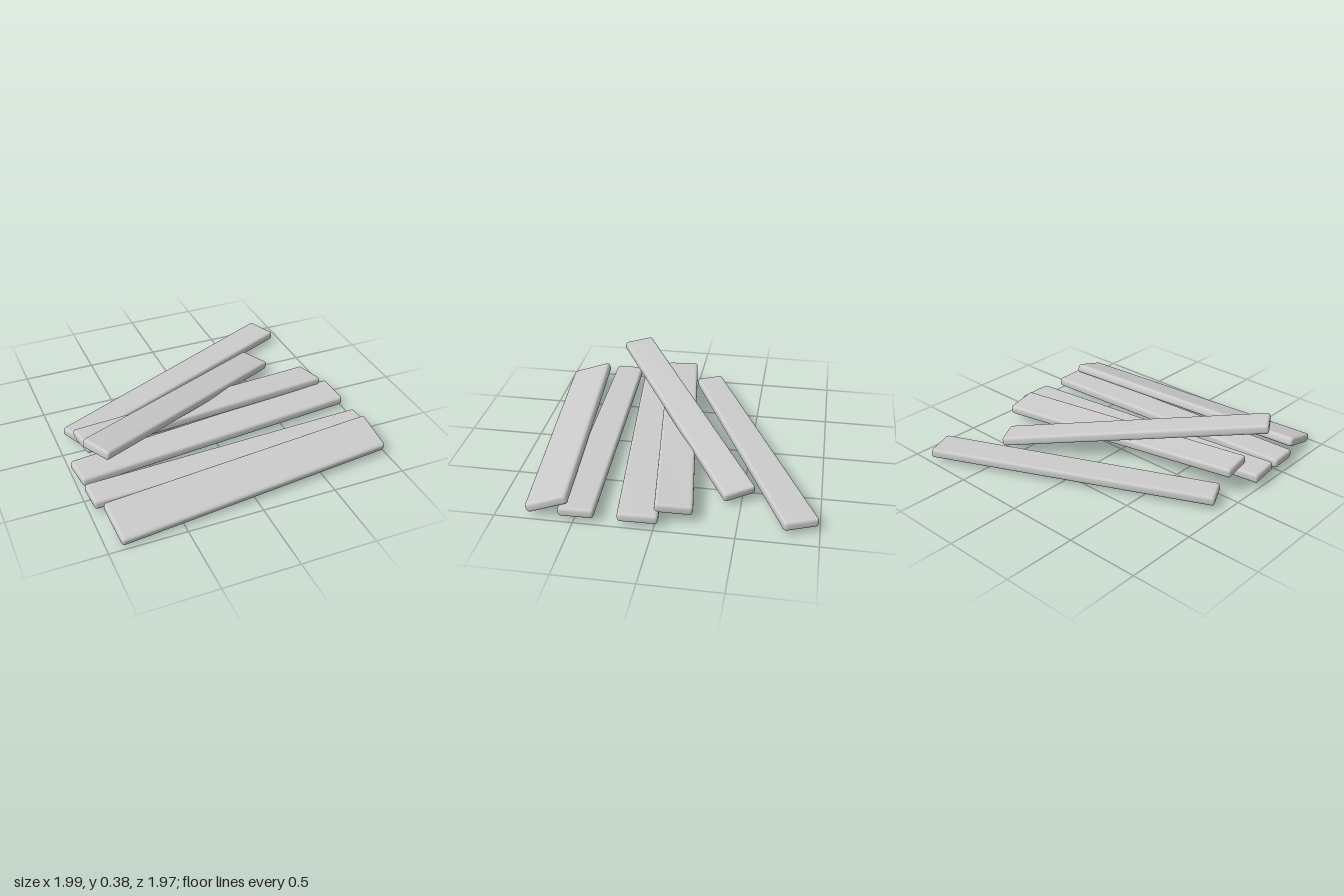
import * as THREE from 'three';
import { RoundedBoxGeometry } from 'three/addons/geometries/RoundedBoxGeometry.js';
import { mergeVertices } from 'three/addons/utils/BufferGeometryUtils.js';

const LENGTH = 2, WIDTH = 0.22, THICK = 0.064;

// A softly bevelled board stretched between its four mid-height corners:
// back left, front left, back right, front right.
function plank(name, corners, material) {
  const [bl, fl, br, fr] = corners.map(c => new THREE.Vector3(...c));
  const along = br.clone().add(fr).sub(bl).sub(fl);
  const across = fl.clone().add(fr).sub(bl).sub(br);
  const up = across.cross(along).normalize();

  let geo = new RoundedBoxGeometry(LENGTH, THICK, WIDTH, 2, 0.021);
  geo.deleteAttribute('normal');
  geo.deleteAttribute('uv');
  geo = mergeVertices(geo, 1e-5);

  const pos = geo.attributes.position;
  const p = new THREE.Vector3(), right = new THREE.Vector3();
  for (let i = 0; i < pos.count; i++) {
    const u = pos.getX(i) / LENGTH + 0.5;
    const v = pos.getZ(i) / WIDTH + 0.5;
    const h = pos.getY(i);
    p.lerpVectors(bl, fl, v);
    right.lerpVectors(br, fr, v);
    p.lerp(right, u).addScaledVector(up, h);
    pos.setXYZ(i, p.x, p.y, p.z);
  }
  geo.computeVertexNormals();

  const mesh = new THREE.Mesh(geo, material);
  mesh.name = name;
  return mesh;
}

export function createModel() {
  const group = new THREE.Group();
  group.name = 'plankPile';
  const wood = new THREE.MeshStandardMaterial({ color: 0xcccccc });

  const planks = {
    // boards lying flat
    backPlank: [[-0.945, 0.073, -0.18], [-0.86, 0.073, -0.005], [0.845, 0.073, -0.995], [0.93, 0.073, -0.785]],
    lowerMiddlePlank: [[-1.0, 0.085, 0.2], [-0.975, 0.085, 0.42], [0.985, 0.073, -0.03], [0.99, 0.073, 0.225]],
    lowerFrontPlank: [[-0.98, 0.08, 0.45], [-0.97, 0.08, 0.648], [0.99, 0.075, 0.37], [0.995, 0.075, 0.595]],
    // boards resting on the others
    upperMiddlePlank: [[-0.92, 0.18, 0.005], [-0.885, 0.185, 0.23], [0.89, 0.095, -0.23], [0.925, 0.12, 0.005]],
    crossingPlank: [[-0.95, 0.365, 0.37], [-0.84, 0.355, 0.555], [0.58, 0.09, -0.585], [0.695, 0.075, -0.4]],
    frontPlank: [[-0.935, 0.123, 0.7], [-0.905, 0.035, 0.98], [0.96, 0.148, 0.54], [0.985, 0.067, 0.8]],
  };
  for (const [name, corners] of Object.entries(planks)) group.add(plank(name, corners, wood));
  return group;
}
